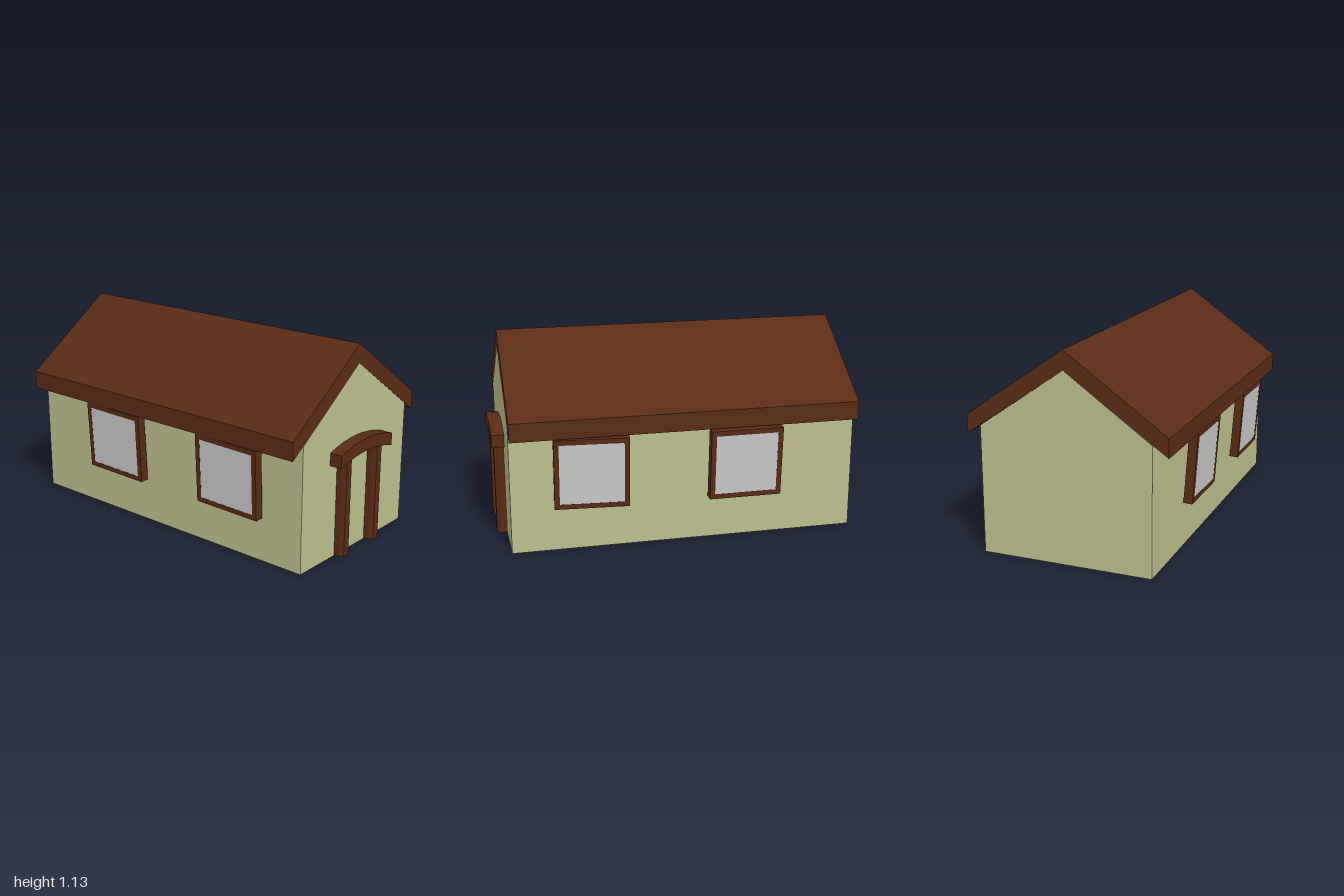
import * as THREE from 'three';

const paint = (color) => new THREE.MeshStandardMaterial({ color, flatShading: true });
const plaster = paint(0xbcbf8c);
const timber = paint(0x5a2c15);
const grey = paint(0xcccccc);

function addMesh(parent, name, geometry, material) {
  const mesh = new THREE.Mesh(geometry, material);
  mesh.name = name;
  parent.add(mesh);
  return mesh;
}

// Extrudes a [z, y] outline along x, from x0 to x1
function alongX(outline, x0, x1) {
  const shape = new THREE.Shape(outline.map(([z, y]) => new THREE.Vector2(-z, y)));
  return new THREE.ExtrudeGeometry(shape, { depth: x1 - x0, bevelEnabled: false })
    .rotateY(Math.PI / 2).translate(x0, 0, 0);
}

function rectangle(Type, w, h) {
  return new Type([[-w, -h], [w, -h], [w, h], [-w, h]]
    .map(([x, y]) => new THREE.Vector2(x / 2, y / 2)));
}

// A picture-frame surround with a pane almost flush with its face
function makeWindow(name) {
  const group = new THREE.Group();
  group.name = name;
  const w = 0.405, h = 0.395, bar = 0.028, depth = 0.05;
  const outer = rectangle(THREE.Shape, w, h);
  outer.holes.push(rectangle(THREE.Path, w - 2 * bar, h - 2 * bar));
  addMesh(group, name + 'Frame', new THREE.ExtrudeGeometry(outer, { depth, bevelEnabled: false })
    .translate(0, 0, -depth / 2), timber);
  addMesh(group, name + 'Pane', new THREE.BoxGeometry(w - 2 * bar, h - 2 * bar, depth - 0.002), grey);
  return group;
}

export function createModel() {
  const house = new THREE.Group();
  house.name = 'cottage';
  const x0 = -1, x1 = 0.93;

  // Solid walls with gable ends
  addMesh(house, 'walls', alongX(
    [[0.48, 0], [-0.465, 0], [-0.465, 0.7], [0.01, 1.03], [0.48, 0.7]], x0, x1), plaster);

  // Pitched roof slab with upright eaves
  addMesh(house, 'roof', alongX(
    [[0.565, 0.645], [0.565, 0.747], [0.01, 1.135], [-0.54, 0.752], [-0.54, 0.65], [0.01, 1.03]],
    x0, x1), timber);

  // Slightly crooked windows, leaning out at the top
  const windows = [
    ['frontRightWindow', -0.355, 0.523, 0.015, -0.02],
    ['frontLeftWindow', 0.48, 0.523, 0.015, -0.02],
    ['backRightWindow', -0.355, -0.528, Math.PI, 0],
    ['backLeftWindow', 0.495, -0.508, Math.PI - 0.08, 0],
  ];
  for (const [name, x, z, yaw, roll] of windows) {
    const win = makeWindow(name);
    win.position.set(x, 0.446, z);
    win.rotation.set(0.064, yaw, roll, 'YXZ');
    house.add(win);
  }

  // Doorway posts with chamfered front corners
  for (const [name, z] of [['leftPost', -0.135], ['rightPost', 0.148]]) {
    const plan = [[0.925, -0.033], [0.962, -0.033], [0.985, -0.021],
      [0.985, 0.021], [0.962, 0.033], [0.925, 0.033]];
    const shape = new THREE.Shape(plan.map(([x, y]) => new THREE.Vector2(x, y)));
    const post = new THREE.ExtrudeGeometry(shape, { depth: 0.565, bevelEnabled: false })
      .rotateX(-Math.PI / 2).translate(0, 0.005, z);
    addMesh(house, name, post, timber);
  }

  // Curved lintel over the doorway
  const top = [], bottom = [];
  for (let i = 0; i <= 8; i++) {
    const t = i / 4 - 1;
    const z = 0.006 + t * 0.238;
    top.push([z, 0.639 - 0.038 * t * t]);
    bottom.unshift([z, 0.568 - 0.037 * t * t]);
  }
  addMesh(house, 'doorLintel', alongX([...top, ...bottom], 0.925, 1), timber);

  return house;
}
